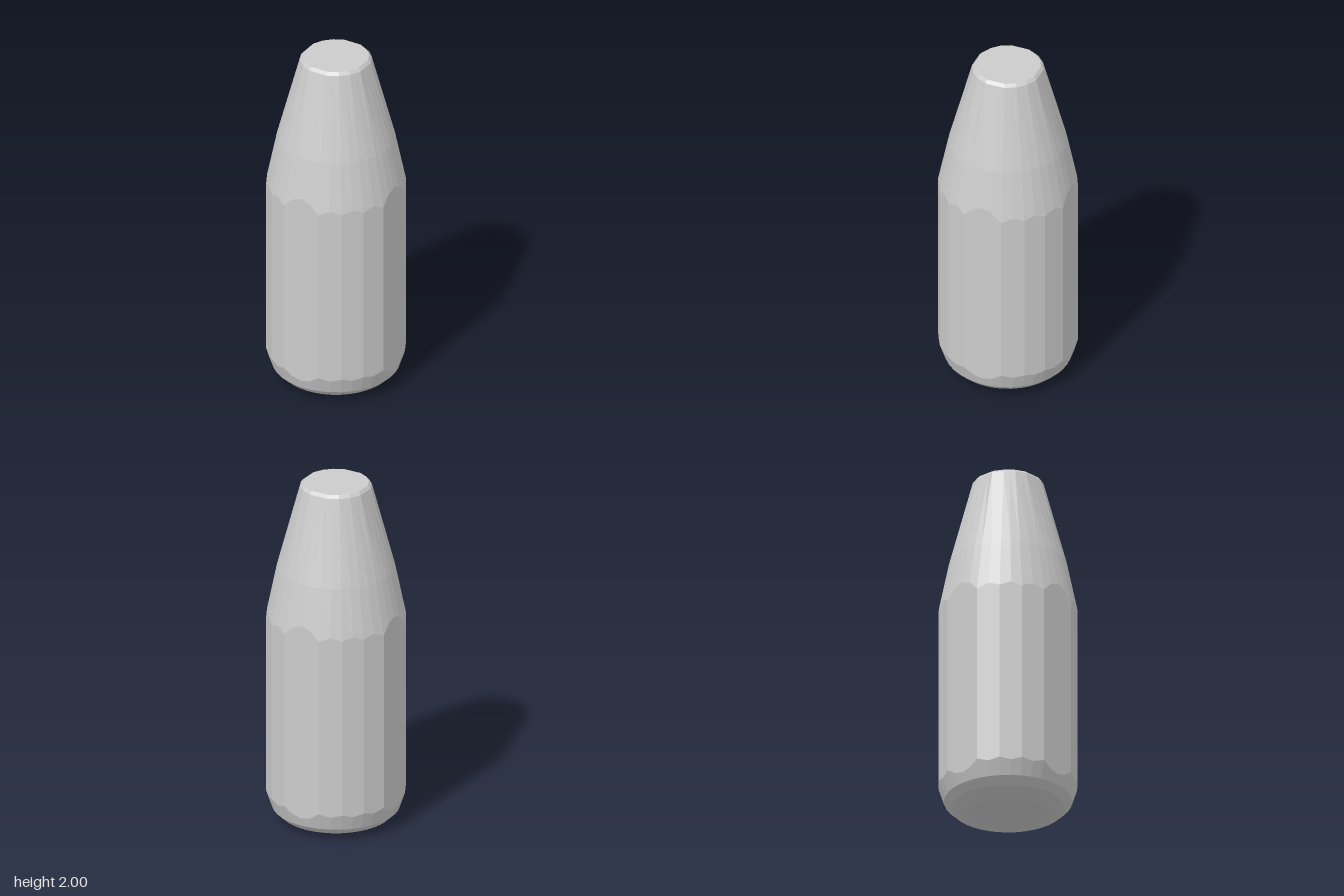
import * as THREE from 'three';

// Corners of the sixteen-sided body in one quadrant
const QUADRANT = [[0.37, 0.11], [0.312, 0.225], [0.225, 0.312], [0.11, 0.37]];

// Full outline: four rotated quadrants, each side subdivided
function makeOutline() {
  const corners = [];
  for (let q = 0; q < 4; q++) {
    for (const [x, z] of QUADRANT) {
      corners.push(new THREE.Vector2(x, z).rotateAround(new THREE.Vector2(), q * Math.PI / 2));
    }
  }
  const outline = [];
  corners.forEach((a, i) => {
    const b = corners[(i + 1) % corners.length];
    const steps = i % 4 === 3 ? 4 : 2; // the four widest sides get more steps
    for (let s = 0; s < steps; s++) outline.push(a.clone().lerp(b, s / steps));
  });
  return outline;
}

export function createModel() {
  const outline = makeOutline();

  // Rings from bottom to top: round ones take a radius, flat-sided ones a scale
  const round = (r, y) => outline.map(p => {
    const d = p.clone().setLength(r);
    return [d.x, y, d.y];
  });
  const sided = (k, heightAt) => outline.map(p => [p.x * k, heightAt(p.length()), p.y * k]);

  const rings = [
    round(0.215, 0),
    round(0.25, 0.008),
    round(0.31, 0.032),
    round(0.352, 0.072),
    sided(1, r => 0.125 + (r - 0.37) * 3),   // scalloped lower edge of the side panels
    sided(1, r => 1.275 - (r - 0.37) * 4.5), // scalloped upper edge of the side panels
    round(0.325, 1.5),
    sided(0.513, () => 1.983),
    sided(0.472, () => 2),
  ];

  const positions = [];
  const tri = (...points) => points.forEach(p => positions.push(...p));
  const n = outline.length;
  for (let i = 0; i < n; i++) {
    const j = (i + 1) % n;
    for (let k = 0; k < rings.length - 1; k++) {
      const lower = rings[k], upper = rings[k + 1];
      tri(lower[i], upper[i], upper[j]);
      tri(lower[i], upper[j], lower[j]);
    }
    // Base and top caps
    const last = rings[rings.length - 1];
    tri([0, 0, 0], rings[0][i], rings[0][j]);
    tri([0, 2, 0], last[j], last[i]);
  }

  const geometry = new THREE.BufferGeometry();
  geometry.setAttribute('position', new THREE.Float32BufferAttribute(positions, 3));
  geometry.computeVertexNormals();

  const bottle = new THREE.Mesh(
    geometry,
    new THREE.MeshStandardMaterial({ color: 0xcccccc, flatShading: true })
  );
  bottle.name = 'bottleBody';

  const group = new THREE.Group();
  group.name = 'bottle';
  group.add(bottle);
  return group;
}
